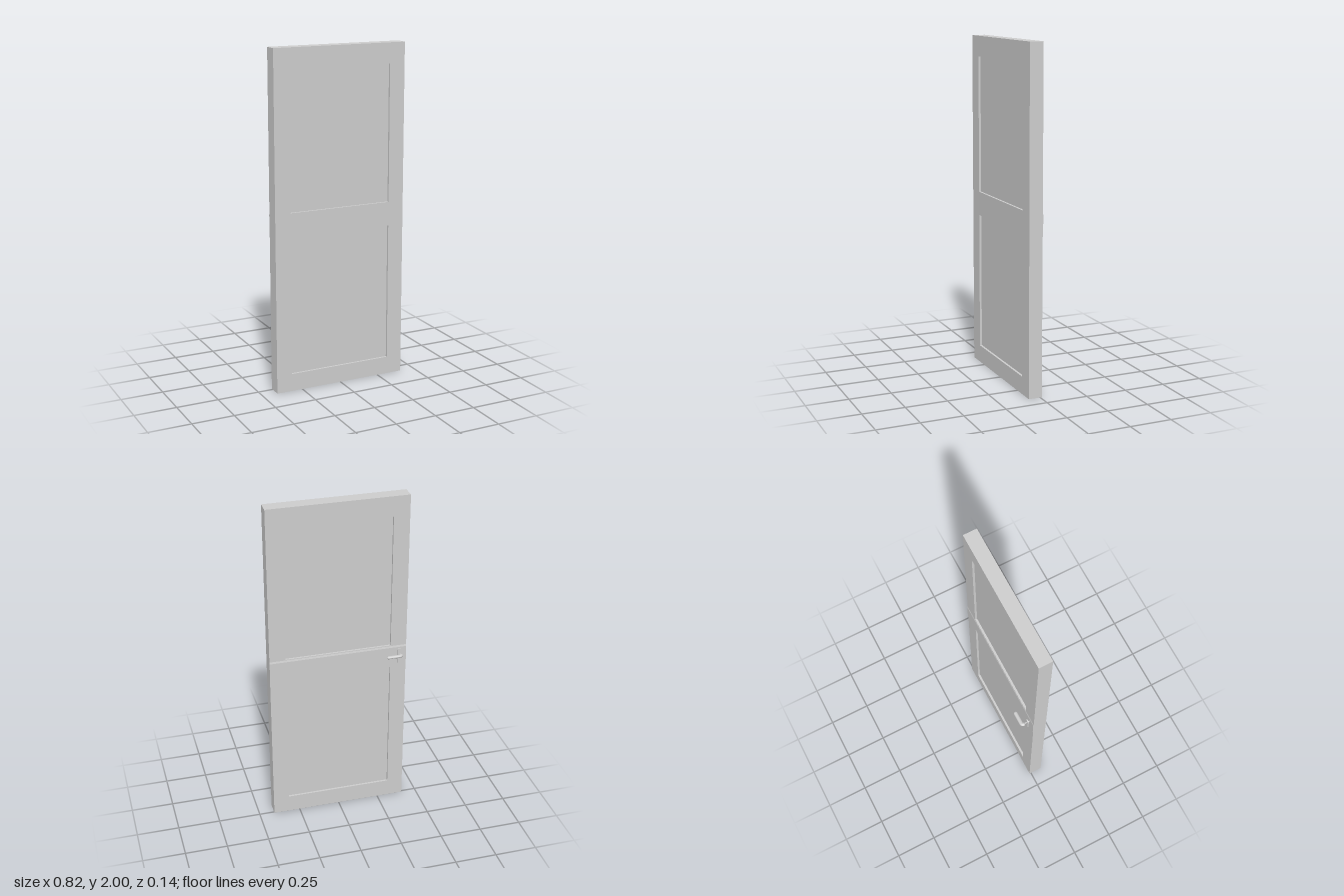
import * as THREE from 'three';

const material = new THREE.MeshStandardMaterial({ color: 0xcccccc });

function add(parent, name, geometry, x = 0, y = 0, z = 0) {
  const mesh = new THREE.Mesh(geometry, material);
  mesh.name = name;
  mesh.position.set(x, y, z);
  parent.add(mesh);
  return mesh;
}

function rectangle(target, x0, y0, x1, y1) {
  target.moveTo(x0, y0);
  target.lineTo(x1, y0);
  target.lineTo(x1, y1);
  target.lineTo(x0, y1);
  target.closePath();
  return target;
}

export function createModel() {
  const door = new THREE.Group();
  door.name = 'door';

  const halfWidth = 0.41, back = -0.01, front = 0.071, recess = 0.013;
  const panels = [[0.105, 0.927], [1.07, 1.88]];
  const panelHalf = 0.315;

  // Stiles and rails: one frame with two panel openings
  const outline = rectangle(new THREE.Shape(), -halfWidth, 0, halfWidth, 2);
  for (const [y0, y1] of panels) {
    outline.holes.push(rectangle(new THREE.Path(), -panelHalf, y0, panelHalf, y1));
  }
  const frame = new THREE.ExtrudeGeometry(outline, { depth: front - back, bevelEnabled: false });
  add(door, 'frame', frame, 0, 0, back);

  // Panels set back from both faces
  panels.forEach(([y0, y1], i) => {
    const panel = new THREE.BoxGeometry(panelHalf * 2, y1 - y0, front - back - 2 * recess);
    add(door, i ? 'upperPanel' : 'lowerPanel', panel, 0, (y0 + y1) / 2, (front + back) / 2);
  });

  // Thin lock rail on the back, with a sloped upper edge
  const section = new THREE.Shape([
    new THREE.Vector2(0.009, 0.93), new THREE.Vector2(0.013, 0.93),
    new THREE.Vector2(0.013, 1.055), new THREE.Vector2(0.009, 1.07),
  ]);
  const rail = new THREE.ExtrudeGeometry(section, { depth: halfWidth * 2, bevelEnabled: false });
  rail.rotateY(Math.PI / 2); // section x becomes -z, depth becomes +x
  add(door, 'lockRail', rail, -halfWidth, 0, 0);

  // Handle on the back
  const handle = new THREE.Group();
  handle.name = 'handle';
  handle.position.set(-0.365, 1.02, 0);
  door.add(handle);

  // Round-ended backplate
  const r = 0.0135;
  const plateShape = new THREE.Shape();
  plateShape.absarc(0, 0.021, r, 0, Math.PI);
  plateShape.absarc(0, -0.056, r, Math.PI, Math.PI * 2);
  plateShape.closePath();
  const plate = new THREE.ExtrudeGeometry(plateShape, { depth: 0.007, bevelEnabled: false, curveSegments: 12 });
  add(handle, 'backplate', plate, 0, 0, -0.031);

  // Spindle
  const spindle = new THREE.CylinderGeometry(0.004, 0.004, 0.043, 16).rotateX(Math.PI / 2);
  add(handle, 'spindle', spindle, 0, 0, -0.0315);

  // Lever: a flattened rounded bar bending off the spindle
  const lever = new THREE.Group();
  lever.name = 'lever';
  lever.scale.y = 0.75;
  handle.add(lever);
  const path = new THREE.CurvePath();
  const start = new THREE.Vector3(-0.001, 0, -0.053);
  const bend = new THREE.Vector3(0.011, 0, -0.061);
  const end = new THREE.Vector3(0.0765, 0, -0.061);
  path.add(new THREE.QuadraticBezierCurve3(start, new THREE.Vector3(0.001, 0, -0.061), bend));
  path.add(new THREE.LineCurve3(bend, end));
  const thickness = 0.0115;
  add(lever, 'leverBar', new THREE.TubeGeometry(path, 32, thickness, 16));
  for (const p of [start, end]) {
    add(lever, 'leverEnd', new THREE.SphereGeometry(thickness, 16, 12), p.x, p.y, p.z);
  }

  return door;
}
